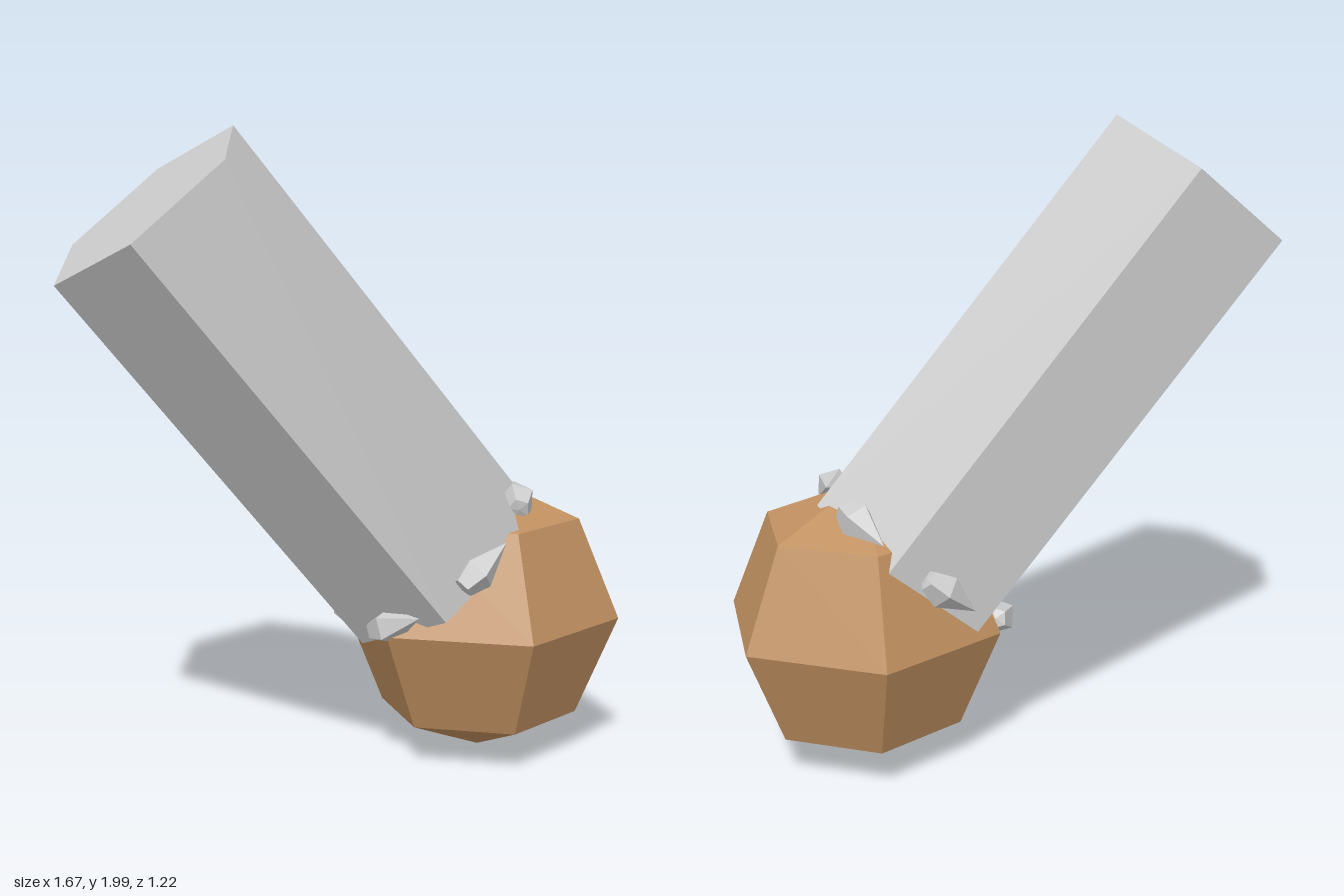
import * as THREE from 'three';

export function createModel() {
  const model = new THREE.Group();
  const grey = new THREE.MeshStandardMaterial({ color: 0xcccccc, flatShading: true });
  const brown = new THREE.MeshStandardMaterial({ color: 0xc09060, flatShading: true });

  const add = (parent, name, geometry, material) => {
    const mesh = new THREE.Mesh(geometry, material);
    mesh.name = name;
    parent.add(mesh);
    return mesh;
  };

  // Faceted ball at the foot
  const centre = new THREE.Vector3(0.383, 0.45, 0.21);
  add(model, 'ball', new THREE.SphereGeometry(0.45, 6, 4), brown).position.copy(centre);

  // Leaning frame: local y runs up the shaft, local z to its top corner
  const shaftGroup = new THREE.Group();
  shaftGroup.name = 'shaftAssembly';
  const up = new THREE.Vector3(-0.567, 0.772, -0.287).normalize();
  const side = new THREE.Vector3().crossVectors(up, new THREE.Vector3(0.258, 0.228, 0.103)).normalize();
  const corner = new THREE.Vector3().crossVectors(side, up);
  shaftGroup.quaternion.setFromRotationMatrix(new THREE.Matrix4().makeBasis(side, up, corner));
  shaftGroup.position.copy(centre);
  model.add(shaftGroup);

  // Six-sided shaft, its lower end sunk into the ball
  const bottom = 0.213, top = 1.703;
  add(shaftGroup, 'shaft', new THREE.CylinderGeometry(0.36, 0.36, top - bottom, 6), grey)
    .position.y = (bottom + top) / 2;

  // Pointed shards circling the joint, one on each face of the shaft
  const profile = [[0, -0.08], [0.035, -0.075], [0.058, -0.01], [0, 0.12]];
  const shard = new THREE.LatheGeometry(profile.map(([r, y]) => new THREE.Vector2(r, y)), 5);
  shard.rotateZ(-Math.PI / 2);
  shard.translate(0, 0.265, 0.33);
  for (let i = 0; i < 6; i++) {
    add(shaftGroup, 'shard' + (i + 1), shard, grey).rotation.y = (i + 0.5) * Math.PI / 3;
  }
  return model;
}
